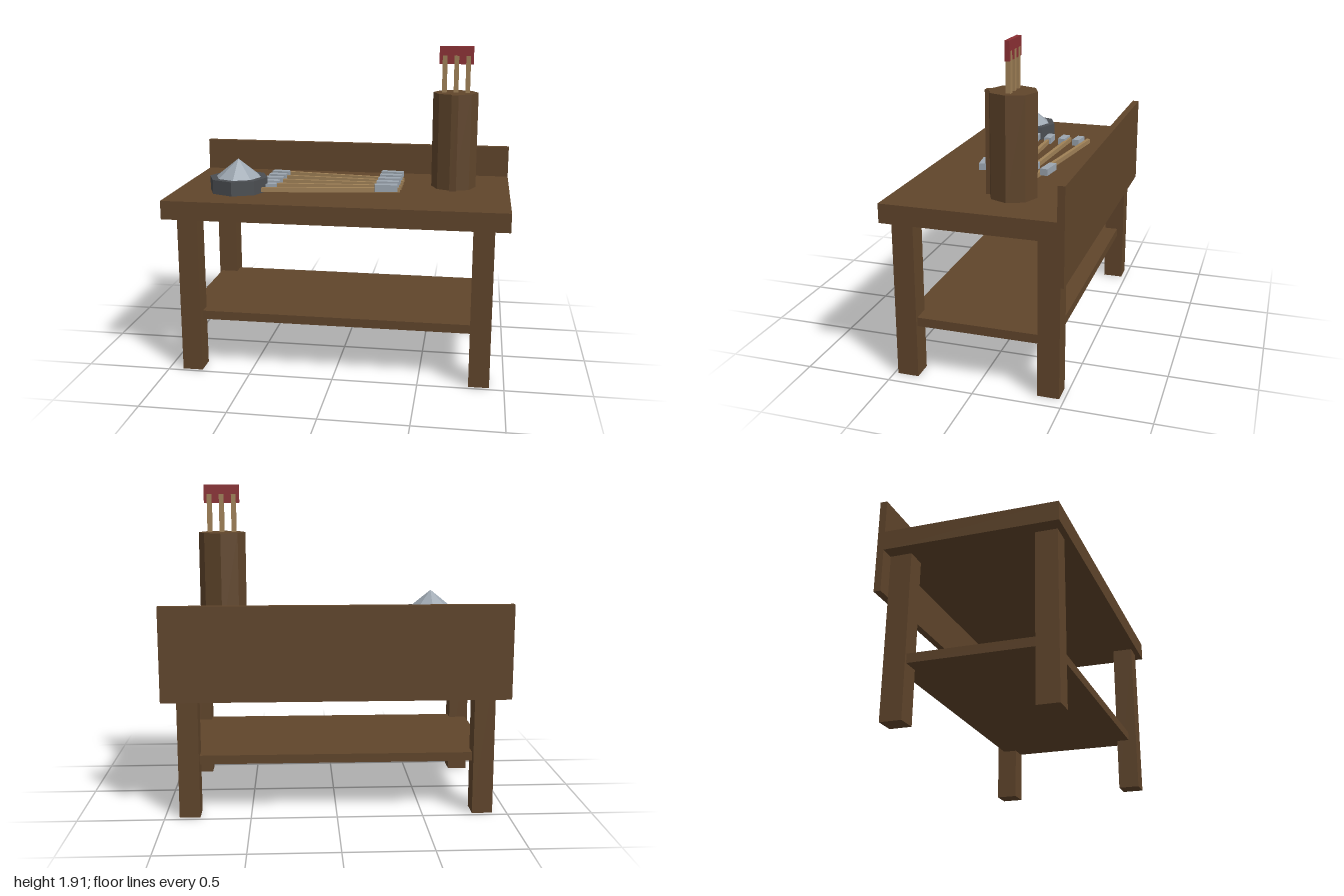
import * as THREE from 'three';

const mat = (name, color) => {
  const m = new THREE.MeshStandardMaterial({ color });
  m.name = name;
  m.flatShading = true;
  return m;
};

export function createModel() {
  const wood = mat('dark wood', 0x60452b);
  const tan = mat('shaft wood', 0xa08157);
  const steel = mat('light steel', 0x9ca6b0);
  const iron = mat('dark iron', 0x4b4e52);
  const red = mat('red fletching', 0x8c3034);

  const model = new THREE.Group();
  model.name = 'fletchingBench';

  const add = (name, geometry, material, x, y, z, parent = model) => {
    const mesh = new THREE.Mesh(geometry, material);
    mesh.name = name;
    mesh.position.set(x, y, z);
    parent.add(mesh);
    return mesh;
  };
  // Box given by its low and high corners
  const box = (name, material, [x0, y0, z0], [x1, y1, z1], parent) =>
    add(name, new THREE.BoxGeometry(x1 - x0, y1 - y0, z1 - z0), material,
      (x0 + x1) / 2, (y0 + y1) / 2, (z0 + z1) / 2, parent);

  // Bench
  box('tabletop', wood, [-1, 0.94, -0.472], [1, 1.05, 0.512]);
  box('backPanel', wood, [-1, 0.695, -0.512], [1, 1.243, -0.472]);
  box('shelf', wood, [-0.9, 0.308, -0.43], [0.9, 0.36, 0.43]);
  for (const x of [-0.855, 0.855]) {
    for (const z of [-0.409, 0.417]) {
      box('leg', wood, [x - 0.06, 0, z - 0.062], [x + 0.06, 0.94, z + 0.062]);
    }
  }

  // Quiver with a strap down its front
  const quiver = new THREE.Group();
  quiver.name = 'quiver';
  model.add(quiver);
  add('quiverBody', new THREE.CylinderGeometry(0.136, 0.136, 0.58, 8), wood, 0.66, 1.34, -0.135, quiver);
  box('quiverStrap', wood, [0.64, 1.05, -0.06], [0.68, 1.63, 0.016], quiver);

  // Arrows standing in the quiver
  for (const x of [0.59, 0.66, 0.73]) {
    box('quiverArrow', tan, [x - 0.014, 1.6, -0.149], [x + 0.014, 1.85, -0.121], quiver);
  }
  box('fletching', red, [0.557, 1.8, -0.148], [0.761, 1.906, -0.122], quiver);

  // Pot with a pointed lid
  add('potBase', new THREE.CylinderGeometry(0.178, 0.178, 0.085, 8), iron, -0.622, 1.0925, 0.167);
  add('potLid', new THREE.ConeGeometry(0.137, 0.11, 8), steel, -0.622, 1.19, 0.167);

  // Fan of arrows lying on the tabletop
  for (let i = -2; i <= 2; i++) {
    const z = -0.028 + i * 0.097;
    const angle = i * 0.067;
    const arrow = new THREE.Group();
    arrow.name = 'looseArrow';
    model.add(arrow);
    const parts = [
      add('shaft', new THREE.BoxGeometry(0.85, 0.028, 0.022), tan, -0.07, 1.07, z, arrow),
      add('arrowhead', new THREE.BoxGeometry(0.135, 0.04, 0.045), steel, 0.274, 1.094, z, arrow),
      add('tailFletching', new THREE.BoxGeometry(0.107, 0.04, 0.045), steel, -0.445, 1.077, z, arrow),
    ];
    parts.forEach((p) => { p.rotation.y = angle; });
  }

  return model;
}
